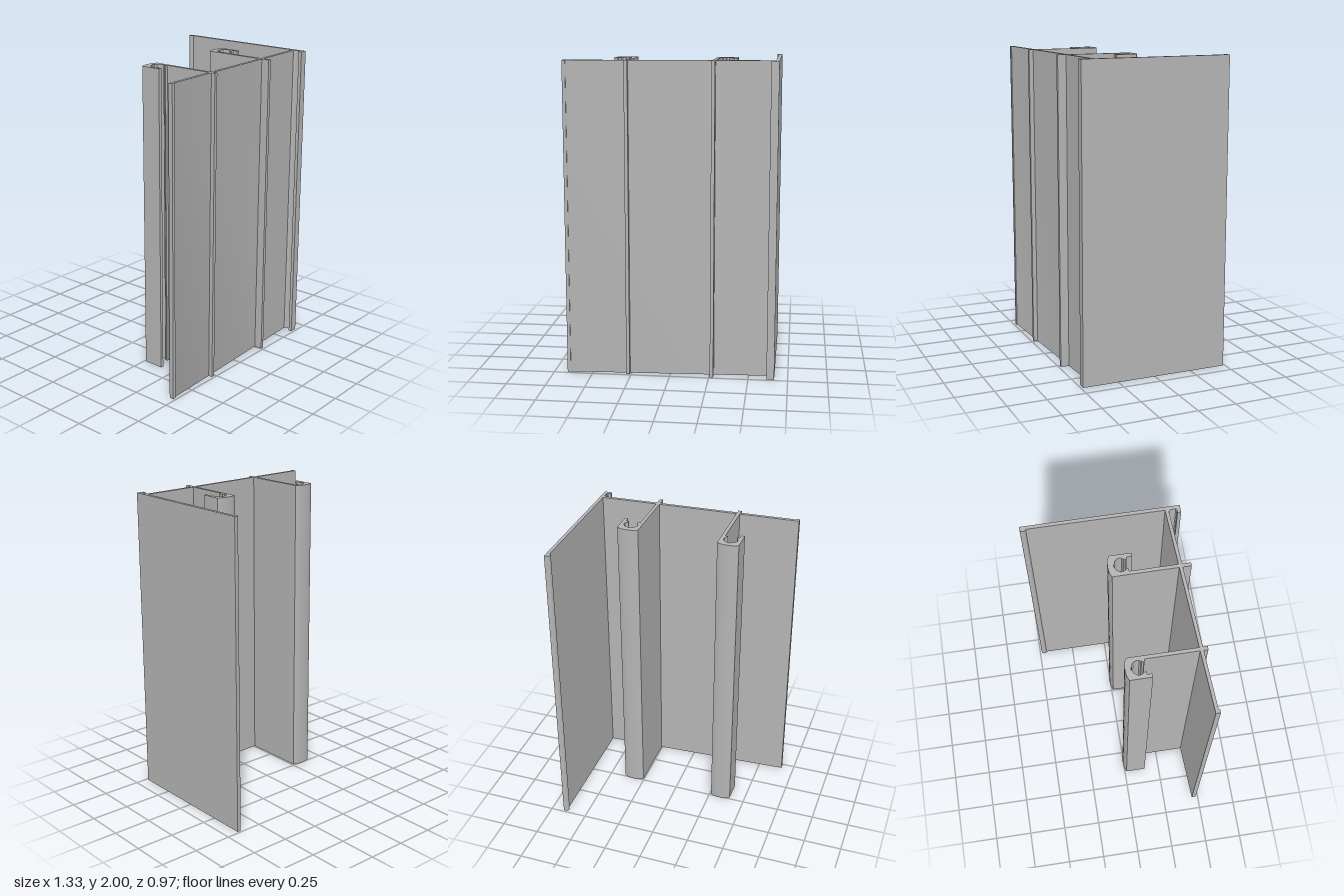
import * as THREE from 'three';
import { toCreasedNormals } from 'three/addons/utils/BufferGeometryUtils.js';

const HEIGHT = 2;

// Rear and front faces of the slanted web, as z for a given x
const webRear = (x) => 0.392 + (0.643 - x) * 0.0498;
const webFront = (x) => webRear(x) + 0.021;

export function createModel() {
  const group = new THREE.Group();
  const aluminium = new THREE.MeshStandardMaterial({ color: 0xb4b4b4 });
  aluminium.name = 'aluminium grey';

  // Extrudes a plan outline of [x, z] points up the full height
  function profile(name, points) {
    const shape = new THREE.Shape(points.map(([x, z]) => new THREE.Vector2(x, -z)));
    let geometry = new THREE.ExtrudeGeometry(shape, { depth: HEIGHT, bevelEnabled: false });
    geometry.rotateX(-Math.PI / 2);
    geometry = toCreasedNormals(geometry, 0.6);
    const mesh = new THREE.Mesh(geometry, aluminium);
    mesh.name = name;
    group.add(mesh);
  }

  // Points on an arc in plan
  function arc(cx, cz, r, from, to, steps) {
    return Array.from({ length: steps + 1 }, (_, i) => {
      const a = from + ((to - from) * i) / steps;
      return [cx + r * Math.cos(a), cz + r * Math.sin(a)];
    });
  }

  // Slanted web with a small foot at its free end
  profile('web', [
    [-0.665, webRear(-0.665)], [0.643, webRear(0.643)], [0.643, webFront(0.643)],
    [-0.638, webFront(-0.638)], [-0.644, webFront(-0.644) + 0.004],
    [-0.644, 0.486], [-0.665, 0.486],
  ]);

  // Tall side wall: bead at the rear edge, lipped foot at the front
  profile('sideWall', [
    [0.665, -0.488], [0.665, 0.486], [0.616, 0.486], [0.616, 0.464],
    [0.637, 0.464], [0.643, 0.458], [0.643, 0.43],
    [0.639, 0.421], [0.63, webFront(0.63)], [0.643, webFront(0.643)],
    [0.643, -0.451],
    ...arc(0.65, -0.469, 0.0193, Math.PI * 0.62, Math.PI * 1.5, 14),
  ]);

  // One half of the screw channel inside a head, from lip to crown
  const channel = [
    [0.047, 0.115], [0.03, 0.113], [0.029, 0.108], [0.037, 0.098], [0.035, 0.092],
    [0.044, 0.084], [0.045, 0.068], [0.04, 0.055], [0.034, 0.05], [0.03, 0.042],
    [0.02, 0.038], [0.012, 0.037], [0.008, 0.03],
  ];
  const mirror = (pts) => pts.map(([u, z]) => [-u, z]).reverse();

  // Shallow domed back of a head
  const dome = Array.from({ length: 15 }, (_, i) => {
    const t = i / 7 - 1;
    return [0.069 * t, -0.005 + 0.017 * Math.abs(t) ** 2.6];
  });

  // Two mirrored posts, each with a hooked head behind and a stub in front of the web
  for (const [side, centre, cap] of [['left', 0.3245, 1], ['right', -0.3285, -1]]) {
    const place = ([u, z]) => [centre - cap * u, z];
    const inner = place([0.047, 0])[0];
    const outer = place([0.069, 0])[0];
    profile(side + 'HookedPost', [
      ...dome.map(place),
      [outer, webRear(outer)], [inner, webRear(inner)],
      ...[...channel, ...mirror(channel)].map(place),
      ...[[-0.047, 0.147], [-0.069, 0.147]].map(place),
    ]);
    profile(side + 'FrontRib', [
      [inner, webFront(inner)], [outer, webFront(outer)], [outer, 0.486], [inner, 0.486],
    ]);
  }
  return group;
}
